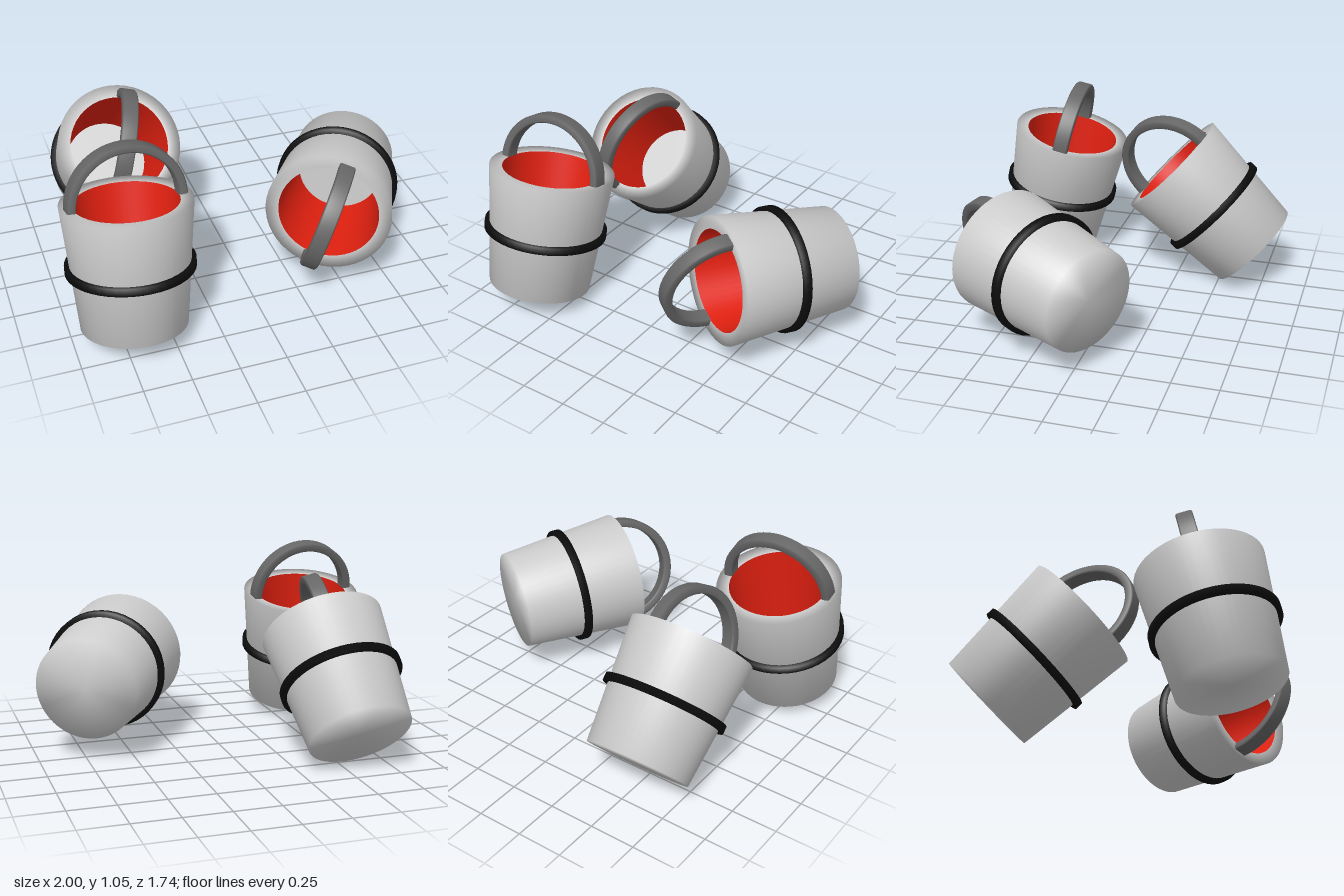
import * as THREE from 'three';

const HEIGHT = 0.67, RIM_R = 0.335, BASE_R = 0.277, WALL = 0.068, FLOOR = 0.2;
const grey = new THREE.MeshStandardMaterial({ color: 0xcccccc });
const red = new THREE.MeshStandardMaterial({ color: 0xe02010 });
const black = new THREE.MeshStandardMaterial({ color: 0x0c0c0c });
const dark = new THREE.MeshStandardMaterial({ color: 0x666666, side: THREE.DoubleSide });

const outerR = y => BASE_R + (RIM_R - BASE_R) * y / HEIGHT;
const innerR = y => outerR(y) - WALL;

function lathe(points, phiLength = Math.PI * 2) {
  return new THREE.LatheGeometry(points.map(p => new THREE.Vector2(...p)), 48, 0, phiLength);
}

function part(name, geometry, material) {
  const mesh = new THREE.Mesh(geometry, material);
  mesh.name = name;
  return mesh;
}

// Upright bucket standing on its base, handle ends on the local z axis
function makeBucket(name) {
  const bucket = new THREE.Group();
  bucket.name = name;
  const lip = HEIGHT - 0.005;

  // Outer wall with base and rim
  bucket.add(part('shell', lathe([
    [0, 0], [BASE_R, 0], [RIM_R, HEIGHT], [innerR(HEIGHT), lip],
  ]), grey));

  // Lining and raised inner floor
  bucket.add(part('lining', lathe([[innerR(HEIGHT), lip], [innerR(FLOOR), FLOOR]]), red));
  bucket.add(part('floor', lathe([[innerR(FLOOR), FLOOR], [0, FLOOR]]), grey));

  // Band around the middle
  const b0 = 0.31, b1 = 0.35, bandR = outerR(0.33) + 0.026;
  bucket.add(part('band', lathe([
    [bandR - 0.04, b0], [bandR, b0], [bandR, b1], [bandR - 0.04, b1],
  ]), black));

  // Half-ring strap handle with slightly bevelled edges
  const w = 0.043, r0 = 0.264, r1 = 0.31, c = 0.008;
  const strap = lathe([
    [r0, -w + c], [r0 + c, -w], [r1 - c, -w], [r1, -w + c],
    [r1, w - c], [r1 - c, w], [r0 + c, w], [r0, w - c], [r0, -w + c],
  ], Math.PI);
  strap.rotateZ(Math.PI / 2);
  const handle = part('handle', strap, dark);
  handle.position.y = HEIGHT - 0.008;
  bucket.add(handle);
  return bucket;
}

// Places a bucket by its base centre, rim centre and handle direction
function placeBucket(name, base, rim, handleDir) {
  const bucket = makeBucket(name);
  const origin = new THREE.Vector3(...base);
  const up = new THREE.Vector3(...rim).sub(origin).normalize();
  const x = new THREE.Vector3().crossVectors(up, new THREE.Vector3(...handleDir)).normalize();
  const z = new THREE.Vector3().crossVectors(x, up);
  bucket.quaternion.setFromRotationMatrix(new THREE.Matrix4().makeBasis(x, up, z));
  bucket.position.copy(origin);
  return bucket;
}

export function createModel() {
  const model = new THREE.Group();
  model.name = 'buckets';
  model.add(
    placeBucket('frontBucket', [-0.683, 0.11, 0.6], [-0.658, 0.766, 0.454], [1, 0, -0.07]),
    placeBucket('backBucket', [-0.545, 0.215, -0.68], [-0.53, 0.67, -0.189], [0.3, 0.7, -0.65]),
    placeBucket('leftBucket', [0.757, 0.41, -0.08], [0.415, 0.465, 0.49], [0.28, 0.957, 0.077]),
  );
  return model;
}
